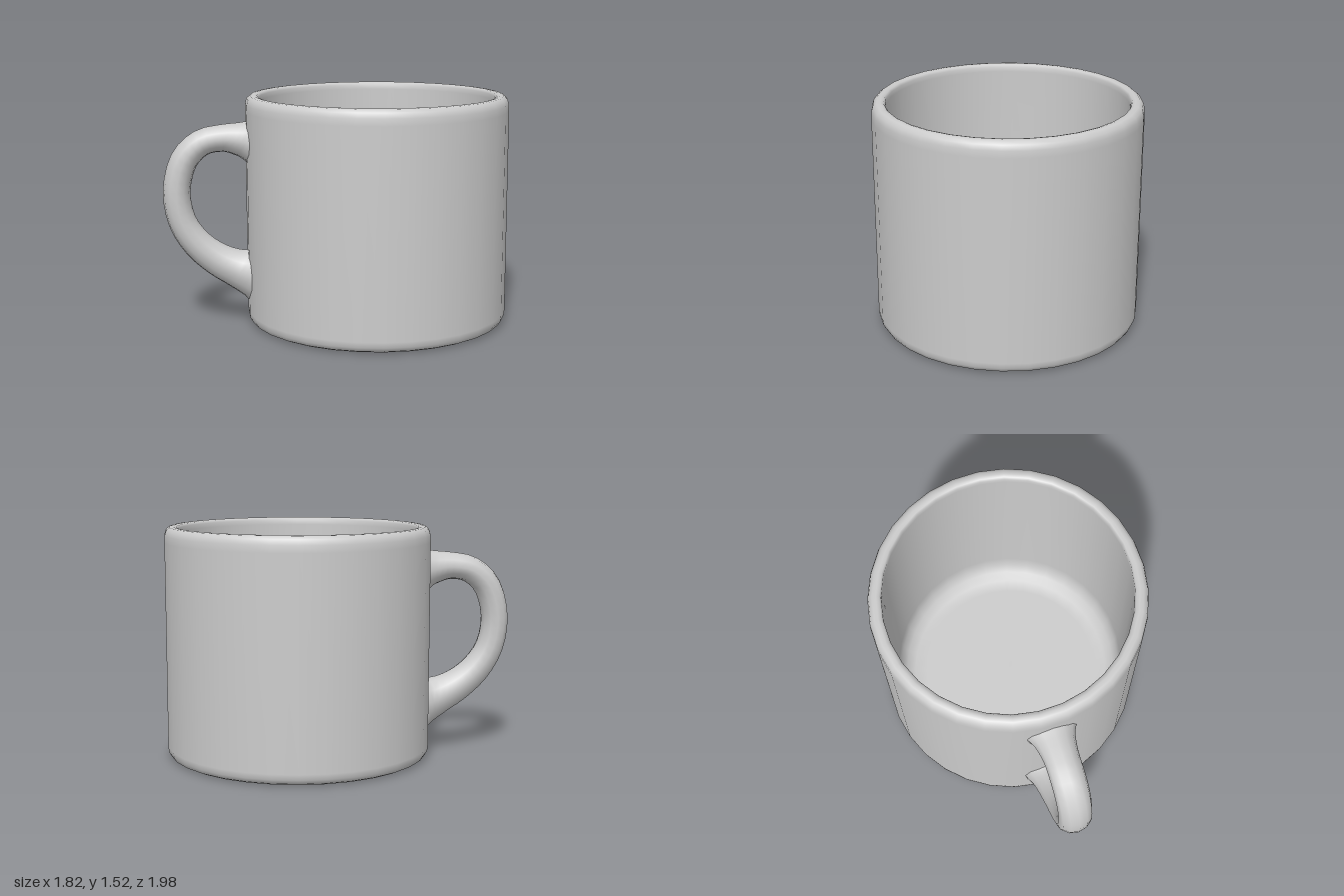
import * as THREE from 'three';

const material = new THREE.MeshStandardMaterial({ color: 0xcccccc });

// Cup wall, rim, inside and floor as one turned profile [radius, height]
function makeCup() {
  const profile = [
    [0, 0], [0.78, 0], [0.82, 0.004], [0.85, 0.018], [0.866, 0.045], [0.87, 0.08],
    [0.87, 1.42], [0.868, 1.465], [0.858, 1.498], [0.835, 1.517], [0.81, 1.52],
    [0.79, 1.515], [0.78, 1.50], [0.78, 1.47],
    [0.78, 0.28], [0.768, 0.2], [0.735, 0.14], [0.68, 0.108], [0.6, 0.1], [0, 0.1],
  ].map(([r, y]) => new THREE.Vector2(r, y));
  return new THREE.Mesh(new THREE.LatheGeometry(profile, 32), material);
}

// Swept handle; each station is [distance from cup axis, height, half thickness, half width]
function makeHandle() {
  const stations = [
    [0.82, 1.22, 0.15, 0.18],
    [0.90, 1.235, 0.115, 0.135],
    [1.02, 1.245, 0.09, 0.112],
    [1.16, 1.215, 0.088, 0.11],
    [1.275, 1.10, 0.09, 0.11],
    [1.325, 0.90, 0.09, 0.11],
    [1.295, 0.70, 0.092, 0.11],
    [1.20, 0.545, 0.1, 0.11],
    [1.07, 0.435, 0.112, 0.115],
    [0.93, 0.365, 0.135, 0.135],
    [0.82, 0.335, 0.19, 0.18],
  ];
  const spline = (f) => new THREE.CatmullRomCurve3(stations.map(f), false, 'catmullrom', 0.5);
  const path = spline(([r, y]) => new THREE.Vector3(r, y, 0));
  const sizes = spline(([, , a, b]) => new THREE.Vector3(a, b, 0));

  const rings = 30, sides = 12;
  const positions = [], index = [];
  for (let i = 0; i <= rings; i++) {
    const c = path.getPoint(i / rings);
    const t = path.getTangent(i / rings);
    const s = sizes.getPoint(i / rings);
    for (let j = 0; j < sides; j++) {
      const angle = (j / sides) * Math.PI * 2;
      const n = Math.cos(angle) * s.x;
      positions.push(c.x - t.y * n, c.y + t.x * n, Math.sin(angle) * s.y);
      if (i < rings) {
        const k = (j + 1) % sides;
        const a = i * sides + j, b = i * sides + k;
        index.push(a, b, a + sides, b, b + sides, a + sides);
      }
    }
  }
  const geometry = new THREE.BufferGeometry();
  geometry.setAttribute('position', new THREE.Float32BufferAttribute(positions, 3));
  geometry.setIndex(index);
  geometry.computeVertexNormals();
  return new THREE.Mesh(geometry, material);
}

export function createModel() {
  const mug = new THREE.Group();
  mug.name = 'mug';

  const cup = makeCup();
  cup.name = 'cup';

  // Handle points to the front right
  const handle = makeHandle();
  handle.name = 'handle';
  handle.rotation.y = THREE.MathUtils.degToRad(-130);

  mug.add(cup, handle);
  mug.position.set(0.04, 0, -0.13);

  const model = new THREE.Group();
  model.name = 'model';
  model.add(mug);
  return model;
}
